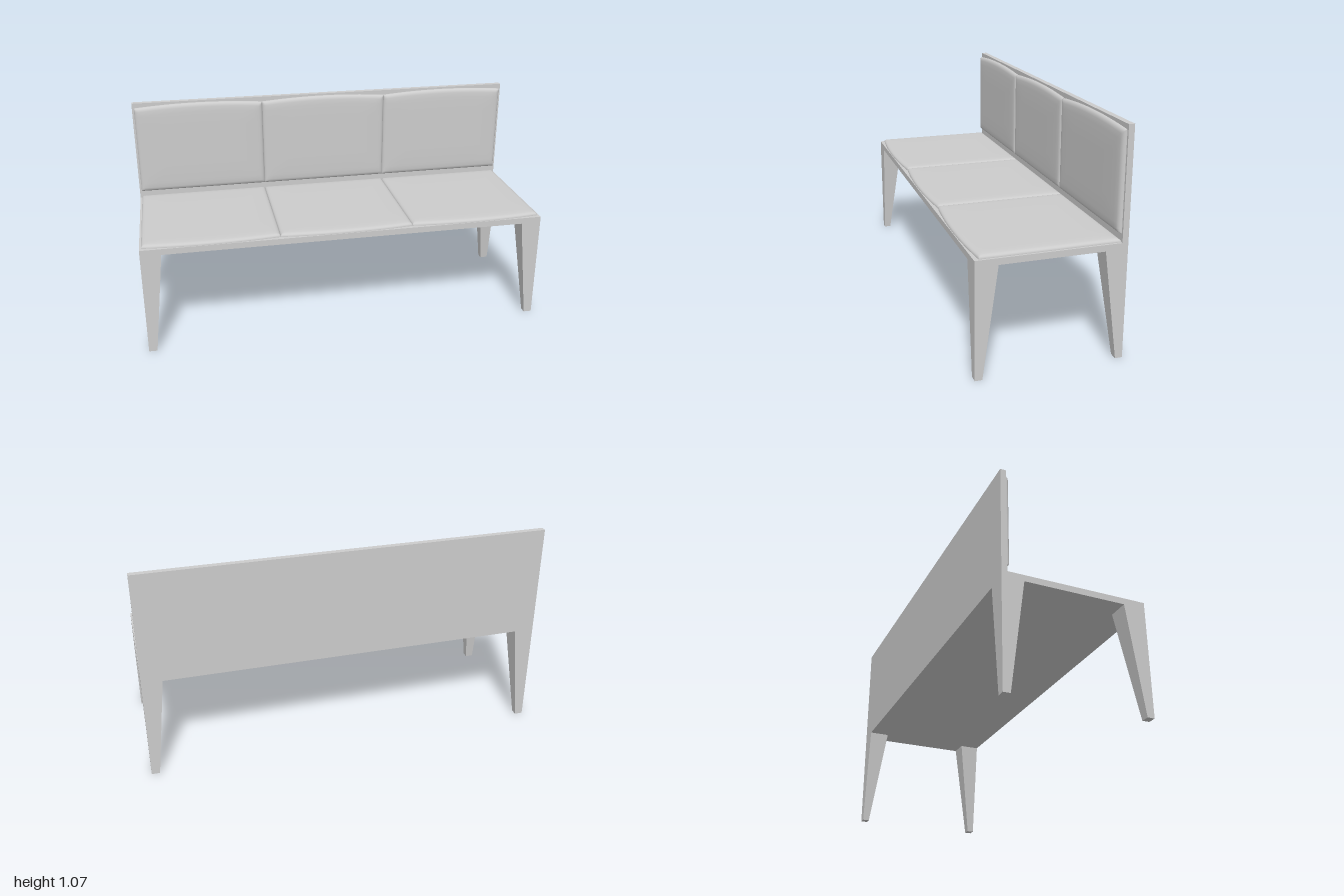
import * as THREE from 'three';

const material = new THREE.MeshStandardMaterial({ color: 0xcccccc });

function add(parent, name, geometry, x = 0, y = 0, z = 0) {
  const mesh = new THREE.Mesh(geometry, material);
  mesh.name = name;
  mesh.position.set(x, y, z);
  parent.add(mesh);
  return mesh;
}

// Leg with straight outer faces; the two inner faces taper towards the foot.
function legGeometry(sx, sz) {
  const height = 0.52;
  const geometry = new THREE.BoxGeometry(1, height, 1);
  const p = geometry.attributes.position;
  for (let i = 0; i < p.count; i++) {
    const top = p.getY(i) > 0;
    const inX = (top ? 0.1 : 0.04) * (p.getX(i) * sx < 0 ? 1 : 0);
    const inZ = (top ? 0.104 : 0.034) * (p.getZ(i) * sz < 0 ? 1 : 0);
    p.setXYZ(i, sx * (1 - inX), top ? height : 0, sz * (0.344 - inZ));
  }
  geometry.computeVertexNormals();
  return geometry;
}

// Upholstered pad: short side wall, rounded rim, gently crowned top,
// and a bowed edge on its +y side. Base lies on z = 0.
function padGeometry(width, length, bulge, thickness) {
  const rim = [[0, 0], [0, 0.3], [0.004, 0.55], [0.01, 0.74], [0.02, 0.87], [0.045, 0.95], [0.09, 0.98]];
  const inner = 10;
  const n = rim.length * 2 + inner;
  const station = (i, size) => {
    if (i < rim.length) return rim[i][0];
    if (i > n - rim.length) return size - rim[n - i][0];
    const a = rim[rim.length - 1][0];
    return a + (size - 2 * a) * (i - rim.length + 1) / (inner + 2);
  };
  const geometry = new THREE.PlaneGeometry(1, 1, n, n);
  const p = geometry.attributes.position;
  for (let j = 0; j <= n; j++) {
    for (let i = 0; i <= n; i++) {
      const x = station(i, width) - width / 2;
      const bow = bulge * (1 - (2 * x / width) ** 2);
      const y = station(n - j, length + bow);
      const ring = Math.min(i, j, n - i, n - j);
      const h = ring < rim.length ? rim[ring][1] : 1;
      p.setXYZ(j * (n + 1) + i, x, y, h * thickness);
    }
  }
  geometry.computeVertexNormals();
  return geometry;
}

export function createModel() {
  const bench = new THREE.Group();
  bench.name = 'bench';

  // Frame: thin seat board and full-width back panel
  add(bench, 'seatBoard', new THREE.BoxGeometry(2, 0.03, 0.66), 0, 0.535, 0.014);
  add(bench, 'backPanel', new THREE.BoxGeometry(2, 0.55, 0.028), 0, 0.795, -0.33);

  // Four tapered legs
  for (const sx of [-1, 1]) {
    for (const sz of [-1, 1]) {
      add(bench, sz > 0 ? 'frontLeg' : 'backLeg', legGeometry(sx, sz));
    }
  }

  // Three seat pads and three back pads
  const width = 0.66;
  const seatPad = padGeometry(width, 0.637, 0.019, 0.019).rotateZ(Math.PI).rotateX(-Math.PI / 2);
  const backPad = padGeometry(width, 0.455, 0.015, 0.023);
  for (let i = -1; i <= 1; i++) {
    add(bench, 'seatPad', seatPad, i * width, 0.55, -0.315);
    add(bench, 'backPad', backPad, i * width, 0.59, -0.316);
  }
  return bench;
}
